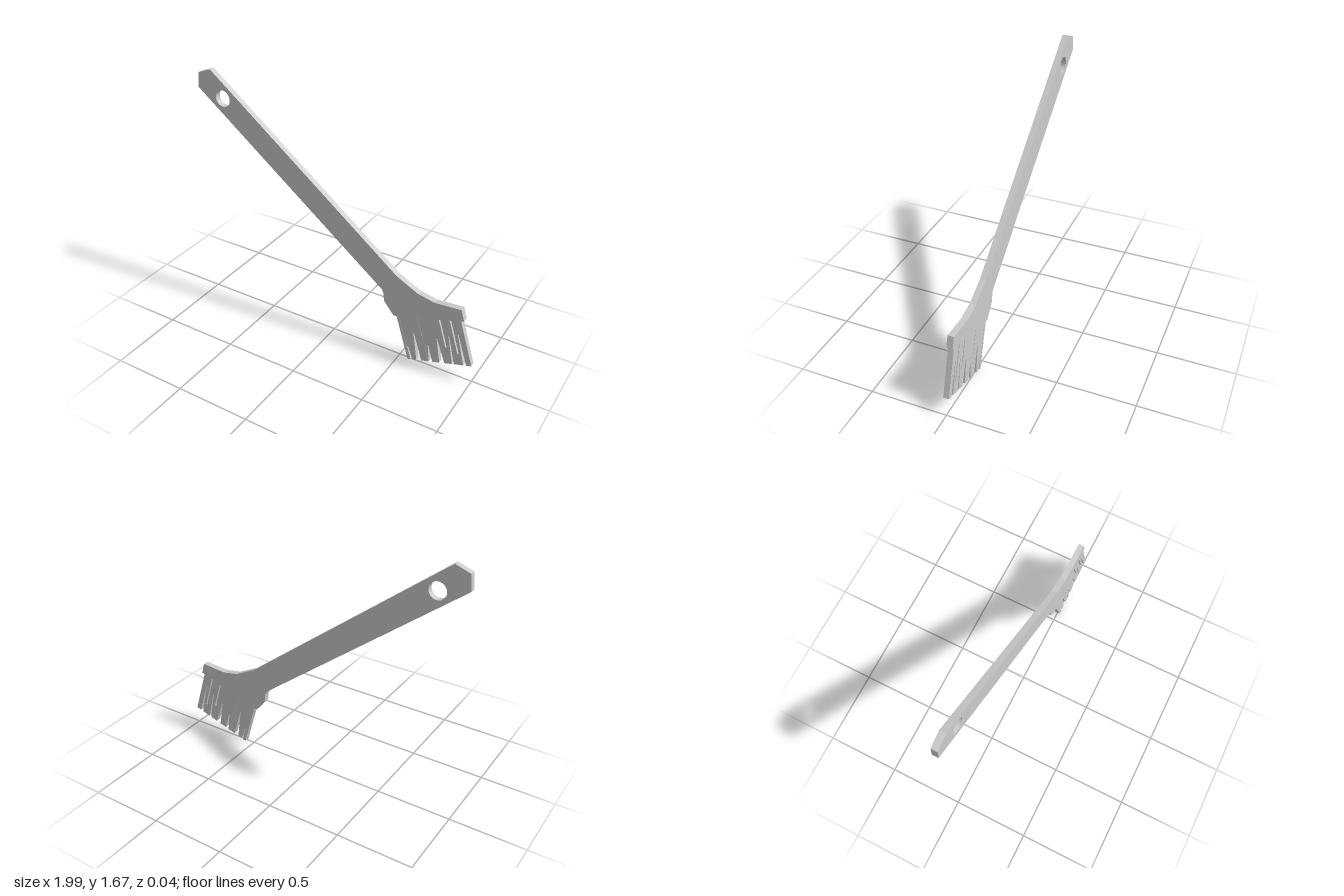
import * as THREE from 'three';

const material = new THREE.MeshStandardMaterial({ color: 0xcccccc, flatShading: true });

const toShape = (pts) => new THREE.Shape(pts.map(([x, y]) => new THREE.Vector2(x, y)));

// Flat plate centred on z = 0
function plate(name, shape, depth) {
  const geometry = new THREE.ExtrudeGeometry(shape, { depth, bevelEnabled: false, curveSegments: 16 });
  geometry.translate(0, 0, -depth / 2);
  const mesh = new THREE.Mesh(geometry, material);
  mesh.name = name;
  return mesh;
}

export function createModel() {
  const model = new THREE.Group();
  model.name = 'brush';

  // Handle flaring into the head, with a hanging hole
  const body = toShape([
    [-1, 1.54], [0.36, 0.475], [0.372, 0.45], [0.378, 0.395], [0.45, 0.305],
    [0.92, 0.447], [0.897, 0.523], [0.72, 0.51], [0.605, 0.535], [0.46, 0.61],
    [-0.895, 1.675], [-0.99, 1.64],
  ]);
  body.holes.push(new THREE.Path().absarc(-0.81, 1.5, 0.055, 0, Math.PI * 2, true));
  model.add(plate('handleAndHead', body, 0.04));

  // Bristle block, drawn upright and tilted to the head's lower edge
  const bristles = new THREE.Group();
  bristles.name = 'bristles';
  bristles.position.set(0.47, 0.31, 0);
  bristles.rotation.z = 0.294;
  model.add(bristles);

  // Tapered gaps cut from the tips: [left, right, apex x, apex depth]
  const width = 0.45, length = 0.322;
  const gaps = [
    [0.022, 0.037, 0.026, 0.22], [0.065, 0.1, 0.096, 0.113], [0.155, 0.18, 0.178, 0.2],
    [0.23, 0.265, 0.254, 0.145], [0.318, 0.332, 0.342, 0.114], [0.395, 0.415, 0.41, 0.093],
  ];
  const outline = [[0, 0.004], [0, -length]];
  for (const [left, right, apex, depth] of gaps) {
    outline.push([left, -length], [apex - 0.002, -depth], [apex + 0.002, -depth], [right, -length]);
  }
  outline.push([width, -length], [width, 0.004]);
  const comb = toShape(outline);

  // Narrow slots starting at the head: [centre x, end depth]
  for (const [x, end] of [[0.304, 0.2], [0.378, 0.24]]) {
    comb.holes.push(new THREE.Path([
      [x - 0.005, -0.002], [x - 0.005, -end], [x + 0.005, -end], [x + 0.005, -0.002],
    ].map(([a, b]) => new THREE.Vector2(a, b))));
  }
  bristles.add(plate('bristleComb', comb, 0.036));

  // Slim single bristles lying proud of the block
  for (const x of [0.014, 0.145]) {
    const strand = new THREE.Mesh(new THREE.BoxGeometry(0.012, length, 0.039), material);
    strand.name = 'singleBristle';
    strand.position.set(x, -length / 2, 0);
    bristles.add(strand);
  }
  return model;
}
